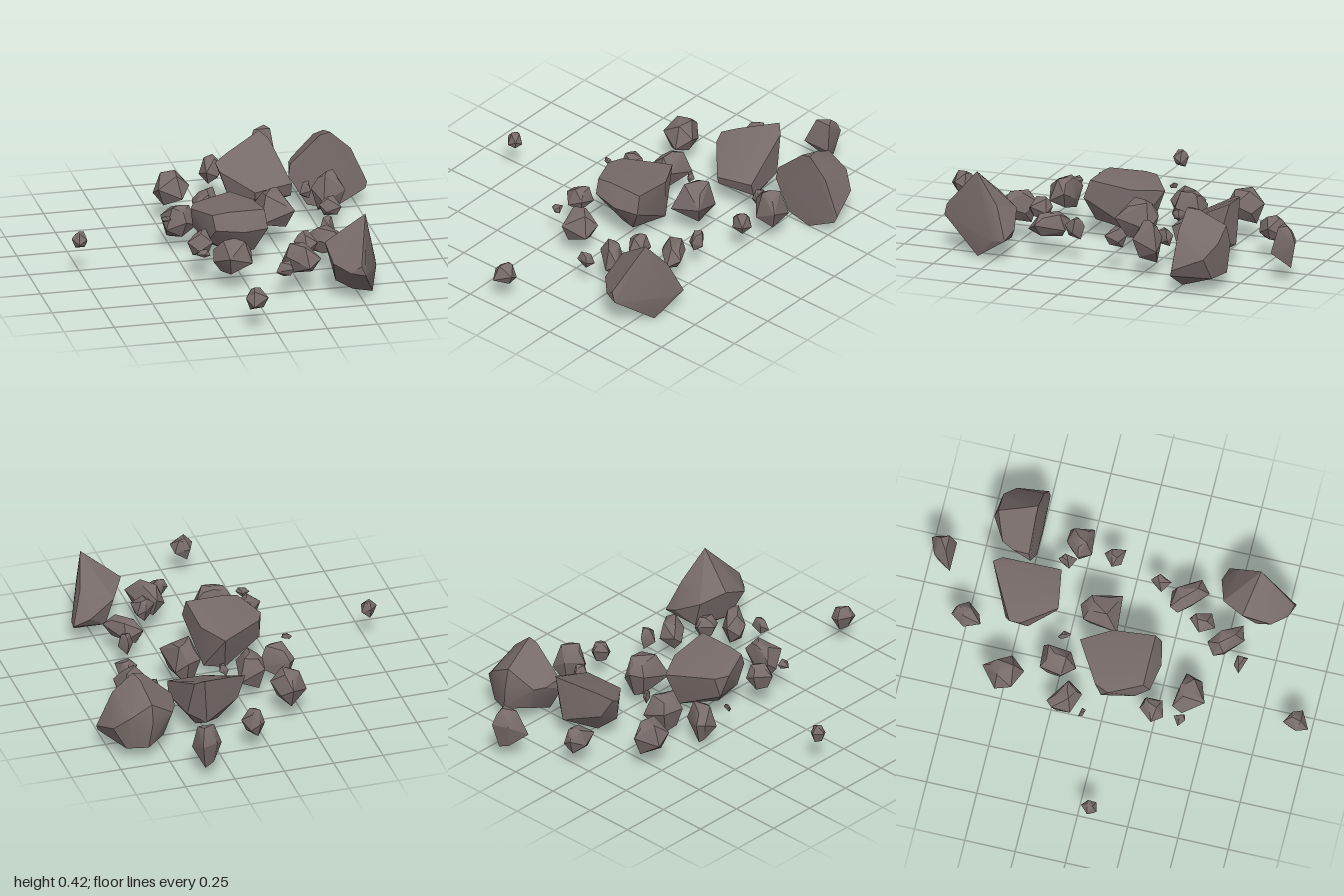
import * as THREE from 'three';
import { ConvexGeometry } from 'three/addons/geometries/ConvexGeometry.js';
import { toCreasedNormals } from 'three/addons/utils/BufferGeometryUtils.js';

const stone = new THREE.MeshStandardMaterial({ color: 0x776b69 });
stone.name = 'grey brown stone';

// Convex rock from corner points, all in hundredths of a unit
function hullRock(name, corners) {
  const points = corners.map(([x, y, z]) => new THREE.Vector3(x, y, z).multiplyScalar(0.01));
  const mesh = new THREE.Mesh(toCreasedNormals(new ConvexGeometry(points), 0.45), stone);
  mesh.name = name;
  return mesh;
}

// Smaller rock: a plan outline [x, z], a height range and a peak that the top leans towards
function chunk(name, y0, y1, peak, outline) {
  const n = outline.length, h = y1 - y0;
  const cx = outline.reduce((s, p) => s + p[0], 0) / n;
  const cz = outline.reduce((s, p) => s + p[1], 0) / n;
  const corners = [[peak[0], y1, peak[1]]];
  outline.forEach(([x, z], i) => {
    const mix = (a, b, t) => a + (b - a) * t;
    corners.push([x, y0 + h * (i % 2 ? 0.36 : 0.62), z]);
    corners.push([mix(peak[0], x, 0.55), y1 - h * (i % 2 ? 0.03 : 0.13), mix(peak[1], z, 0.55)]);
    if (i % 2 === 0) corners.push([mix(cx, x, 0.6), y0 + h * 0.08 * (i % 3), mix(cz, z, 0.6)]);
  });
  return hullRock(name, corners);
}

export function createModel() {
  const group = new THREE.Group();
  group.name = 'rockDebris';

  // Four large boulders
  group.add(hullRock('centreBoulder', [
    [-20, 28, 2], [-17, 28, -5], [4, 27, -17.5], [12, 28, -3], [13, 31, 18], [-5, 31, 18], [-13, 30, 18],
    [-12, 23, 21], [2, 22, 23.5], [14, 22, 21], [-18, 17, -2], [-14, 15, 14],
    [-2, 8, 13], [8, 10, 17], [11, 7, -4], [2, 8, -10], [-12, 10, 3],
  ]));
  group.add(hullRock('frontBoulder', [
    [53, 42, 61], [34, 27, 56], [35, 21, 70], [42, 18, 77], [47, 22, 79], [49, 17, 79.5],
    [57, 0.5, 59], [47, 3, 60], [38, 9, 62], [62, 11, 43], [61, 10, 50], [57, 27, 49],
    [41, 22, 45], [54, 15, 41], [45, 8, 46],
  ]));
  group.add(hullRock('backBoulder', [
    [62, 39, -52], [57, 38, -52], [42, 24, -52], [41, 18, -51], [50, 3, -50], [63, 0, -50], [79, 9, -50],
    [80, 12, -51], [72, 30, -51.5], [60, 38, -58], [43, 22, -60], [46, 22, -66], [58, 31, -71], [58, 22, -73],
    [69, 25, -71], [76, 18, -66], [60, 8, -72], [50, 9, -64], [70, 7, -68],
  ]));
  group.add(hullRock('slopedBoulder', [
    [5, 28, -53], [12, 31, -57], [30, 37, -67], [34, 34, -63], [39, 21, -35], [20, 19, -32], [6, 25, -48],
    [39, 14, -37], [20, 15, -33], [10, 12, -45], [30, 5, -52], [18, 5, -50],
    [28, 12, -64], [10, 18, -56], [36, 15, -58],
  ]));

  // Medium rocks
  const medium = [
    [7, 28, [39, -95], [[41, -100], [43, -88], [35, -89], [28, -88], [33, -97]]],
    [9, 22, [8, -77], [[6, -82], [11, -81], [14, -75], [10, -69], [4, -67], [2, -75]]],
    [9, 26, [-18, -52], [[-17, -61], [-12, -56], [-9, -48], [-14, -41], [-25, -45], [-26, -53]]],
    [6, 25, [-5, -28], [[-11, -34], [2, -35], [0, -21], [-6, -17], [-13, -23]]],
    [4, 22, [-21, -18], [[-26, -27], [-12, -19], [-19, -11], [-28, -15], [-29, -24]]],
    [7, 28, [55, -30], [[54, -36], [62, -36], [63, -24], [52, -23], [47, -29]]],
    [7, 28, [24, -15], [[24, -22], [30, -19], [33, -3], [16, -2], [17, -19]]],
    [8, 25, [-6, 37], [[-16, 33], [-7, 33.5], [2, 36], [1, 44], [-11, 48], [-17, 38]]],
    [9, 22, [43, 25], [[34, 20], [43, 19], [51, 32], [46, 37], [38, 31], [33, 24]]],
    [9, 25, [23, 50], [[20, 42], [27, 46], [32, 57], [26, 59], [16, 51], [15, 46]]],
  ];
  medium.forEach((rock, i) => group.add(chunk(`mediumRock${i + 1}`, ...rock)));

  // Small rocks
  const small = [
    [13, 22, [46, -34], [[45, -38], [48, -36], [47, -29], [42, -32]]],
    [12, 22, [52, -13], [[53, -17], [57, -14], [57, -7], [50, -8], [47, -12]]],
    [14, 22.5, [-76, 5], [[-76, 2], [-72, 5], [-73, 9], [-77, 10], [-80, 6]]],
    [12, 25, [-19, 22], [[-21, 18], [-15, 19], [-15, 28], [-22, 30], [-27, 25]]],
    [11, 22, [46, 11], [[45, 8], [49, 13], [46, 18], [41, 14]]],
    [14, 25, [28, 35], [[29, 31], [33, 33], [34, 41], [28, 44], [23, 37]]],
    [10, 21, [-9, 91], [[-11, 87], [-4, 90], [-3, 95], [-11, 99.5], [-14, 94]]],
  ];
  small.forEach((rock, i) => group.add(chunk(`smallRock${i + 1}`, ...rock)));

  // Pebbles
  const pebbles = [
    [14, 20, [8, -26], [[6, -29], [10, -27], [9, -23], [7, -25]]],
    [17.5, 20.5, [-29, -9], [[-32, -10], [-27, -9], [-28, -7], [-31, -8]]],
    [17, 21, [-21, 38], [[-21, 35], [-19, 40], [-22, 41], [-25.5, 38]]],
    [12, 20, [14, 59], [[12, 57], [18, 57.5], [17, 63], [9, 60]]],
  ];
  pebbles.forEach((rock, i) => group.add(chunk(`pebble${i + 1}`, ...rock)));

  return group;
}
